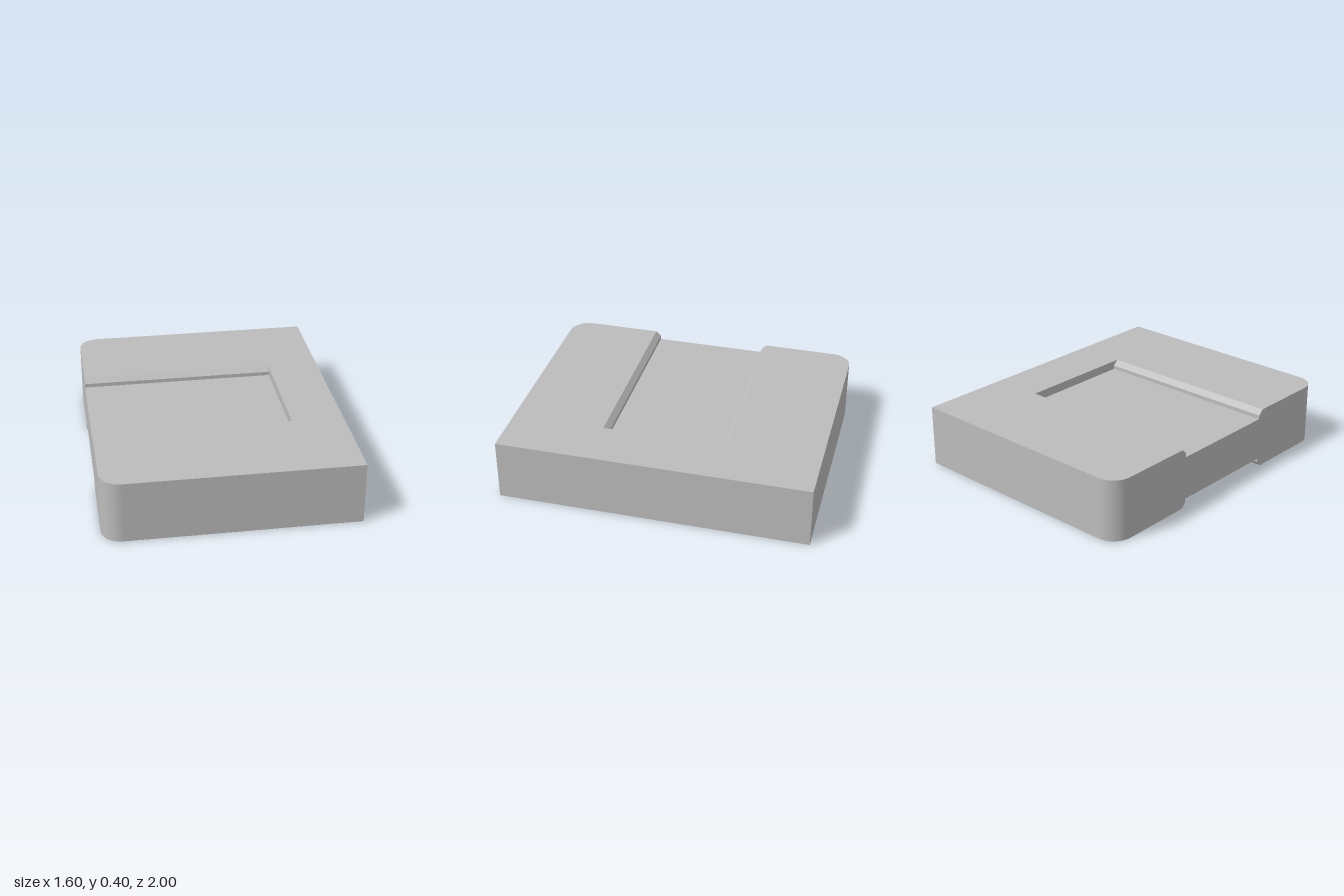
import * as THREE from 'three';

const X = 0.8, Z = 1, H = 0.2;      // half extents of the block
const R = 0.13;                     // radius of the two rounded corners
const END = 0.465;                  // inner end of the recesses
const W = 0.4, C = 0.033, D = 0.058; // recess half width, chamfer, depth

export function createModel() {
  const grey = new THREE.MeshStandardMaterial({ color: 0xbcbcbc });
  const model = new THREE.Group();
  model.name = 'recessedBlock';
  const block = new THREE.Group();
  block.name = 'block';
  block.position.y = H;
  model.add(block);

  const add = (parent, name, geometry) => {
    const mesh = new THREE.Mesh(geometry, grey);
    mesh.name = name;
    parent.add(mesh);
    return mesh;
  };
  const polygon = (pts) => new THREE.ShapeGeometry(
    new THREE.Shape(pts.map(([x, y]) => new THREE.Vector2(x, y))));
  // Polygon given as (z, y), facing -x at the given x
  const faceLeft = (pts, x) => polygon(pts).rotateY(-Math.PI / 2).translate(x, 0, 0);

  // Cross-section of one recess wall, from rim to floor, as (z, y)
  const side = [[W, H], [W - C, H - C], [W - C, H - D]];
  const mirrored = side.map(([z, y]) => [-z, y]).reverse();
  const recess = [...side, ...mirrored];

  // Top or bottom: rim face with open notch, and the recess surfaces
  const makeHalf = (name) => {
    const half = new THREE.Group();
    half.name = name;
    block.add(half);

    const plan = new THREE.Shape();
    plan.moveTo(X, -Z);
    plan.lineTo(X, Z);
    plan.lineTo(-X + R, Z);
    plan.absarc(-X + R, Z - R, R, Math.PI / 2, Math.PI, false);
    plan.lineTo(-X, W);
    plan.lineTo(END, W);
    plan.lineTo(END, -W);
    plan.lineTo(-X, -W);
    plan.lineTo(-X, -Z + R);
    plan.absarc(-X + R, -Z + R, R, Math.PI, Math.PI * 1.5, false);
    add(half, 'rimFace', new THREE.ShapeGeometry(plan, 16)
      .rotateX(-Math.PI / 2).translate(0, H, 0));

    // Chamfers, low walls and floor run along x
    const names = ['chamfer', 'lowWall', 'recessFloor', 'lowWall', 'chamfer'];
    names.forEach((part, i) => {
      const [z0, y0] = recess[i], [z1, y1] = recess[i + 1];
      const g = new THREE.BufferGeometry();
      g.setAttribute('position', new THREE.Float32BufferAttribute([
        -X, y0, z0, END, y0, z0, END, y1, z1, -X, y1, z1], 3));
      g.setIndex([0, 1, 2, 0, 2, 3]);
      g.computeVertexNormals();
      add(half, part, g);
    });
    add(half, 'recessEndWall', faceLeft(recess, END));
    return half;
  };
  makeHalf('topSide');
  makeHalf('bottomSide').rotation.x = Math.PI;

  // Open end: both rails and the thinner web between them
  const flip = ([z, y]) => [-z, -y];
  const e = Z - R;
  add(block, 'openEndFace', faceLeft([
    [e, -H], [e, H], ...recess, [-e, H], [-e, -H], ...recess.map(flip)], -X));

  // Closed end
  add(block, 'closedEndFace', new THREE.PlaneGeometry(2 * Z, 2 * H)
    .rotateY(Math.PI / 2).translate(X, 0, 0));

  // Front and back walls with their rounded corners
  for (const s of [1, -1]) {
    const label = s > 0 ? 'front' : 'back';
    add(block, label + 'Wall', new THREE.PlaneGeometry(2 * X - R, 2 * H)
      .rotateY(s > 0 ? 0 : Math.PI).translate(R / 2, 0, s * Z));
    add(block, label + 'Corner', new THREE.CylinderGeometry(
      R, R, 2 * H, 16, 1, true, s > 0 ? Math.PI * 1.5 : Math.PI, Math.PI / 2)
      .translate(-X + R, 0, s * (Z - R)));
  }
  return model;
}
